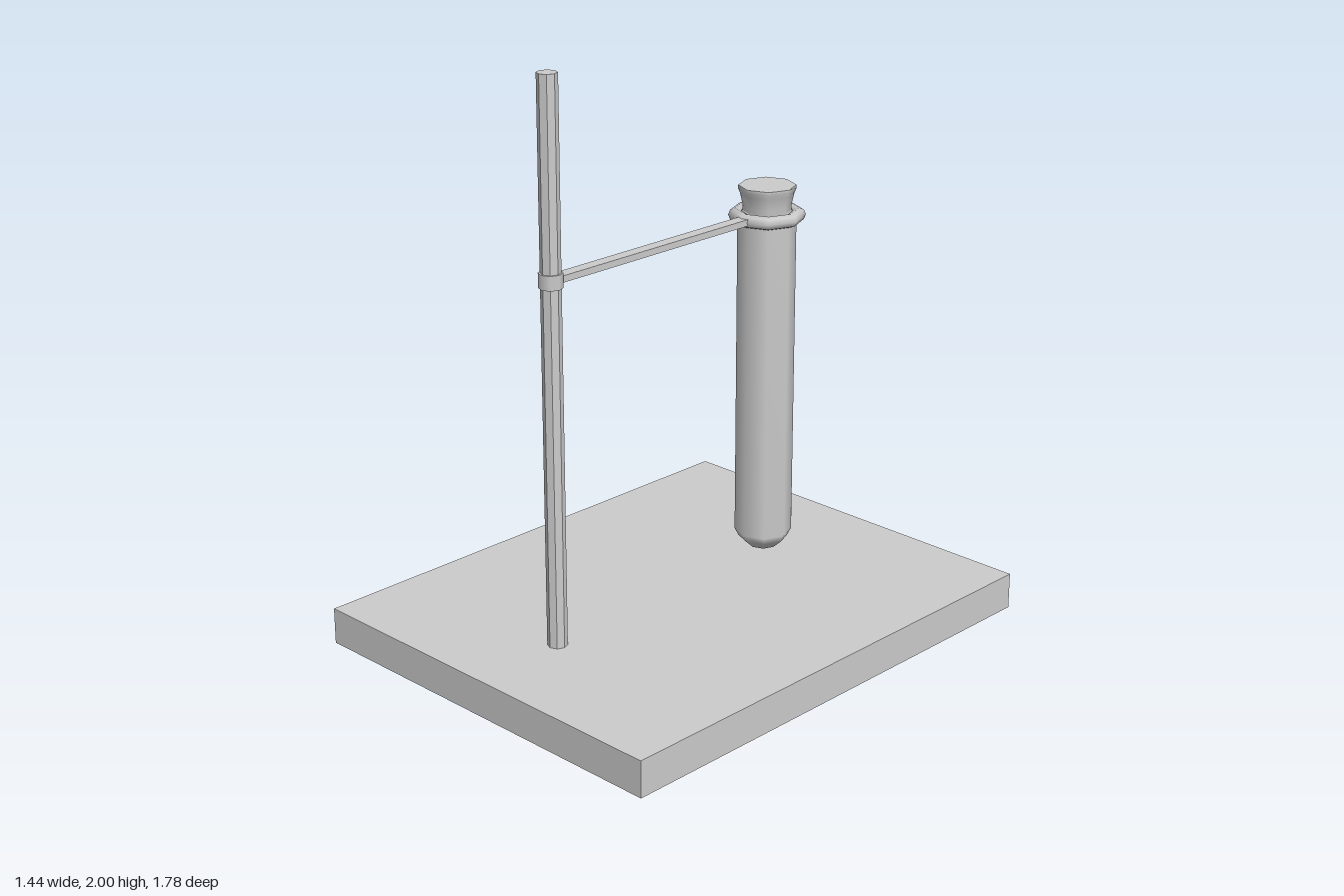
import * as THREE from 'three';

const SIDES = 8;
const ROD_Z = 0.55, TUBE_Z = -0.425, CLAMP_Y = 1.355;

export function createModel() {
  const group = new THREE.Group();
  const grey = new THREE.MeshStandardMaterial({ color: 0xcccccc });
  const faceted = new THREE.MeshStandardMaterial({ color: 0xcccccc, flatShading: true });
  const thin = new THREE.MeshStandardMaterial({ color: 0xcccccc, side: THREE.DoubleSide });

  const add = (name, geometry, y, z, material = grey) => {
    const mesh = new THREE.Mesh(geometry, material);
    mesh.name = name;
    mesh.position.set(0, y, z);
    group.add(mesh);
    return mesh;
  };
  const lathe = points =>
    new THREE.LatheGeometry(points.map(([r, y]) => new THREE.Vector2(r, y)), SIDES);

  // Stand: base plate and upright rod
  add('base', new THREE.BoxGeometry(1.44, 0.125, 1.78), 0.0625, 0);
  add('rod', new THREE.CylinderGeometry(0.033, 0.033, 1.875, SIDES), 1.0625, ROD_Z, faceted);

  // Clamp: collar on the rod, flat arm, ring around the tube
  add('clampCollar', new THREE.CylinderGeometry(0.039, 0.039, 0.048, SIDES), CLAMP_Y, ROD_Z);
  const armStart = TUBE_Z + 0.105, armEnd = ROD_Z - 0.025;
  add('clampArm', new THREE.BoxGeometry(0.042, 0.022, armEnd - armStart),
    CLAMP_Y, (armStart + armEnd) / 2);
  add('clampRing', new THREE.TorusGeometry(0.106, 0.023, 8, SIDES), CLAMP_Y, TUBE_Z)
    .rotation.x = Math.PI / 2;

  // Test tube with a rounded bottom
  add('testTube', lathe([
    [0, 0.15], [0.05, 0.165], [0.085, 0.196], [0.098, 0.222], [0.098, 1.365], [0.075, 1.372],
  ]), 0, TUBE_Z, thin);

  // Tapered stopper with a flat top
  add('stopper', lathe([[0.08, 1.34], [0.081, 1.39], [0.09, 1.43], [0.097, 1.447], [0.096, 1.457]]),
    0, TUBE_Z, thin);
  add('stopperTop', new THREE.CircleGeometry(0.096, SIDES), 1.457, TUBE_Z)
    .rotation.x = -Math.PI / 2;

  return group;
}
